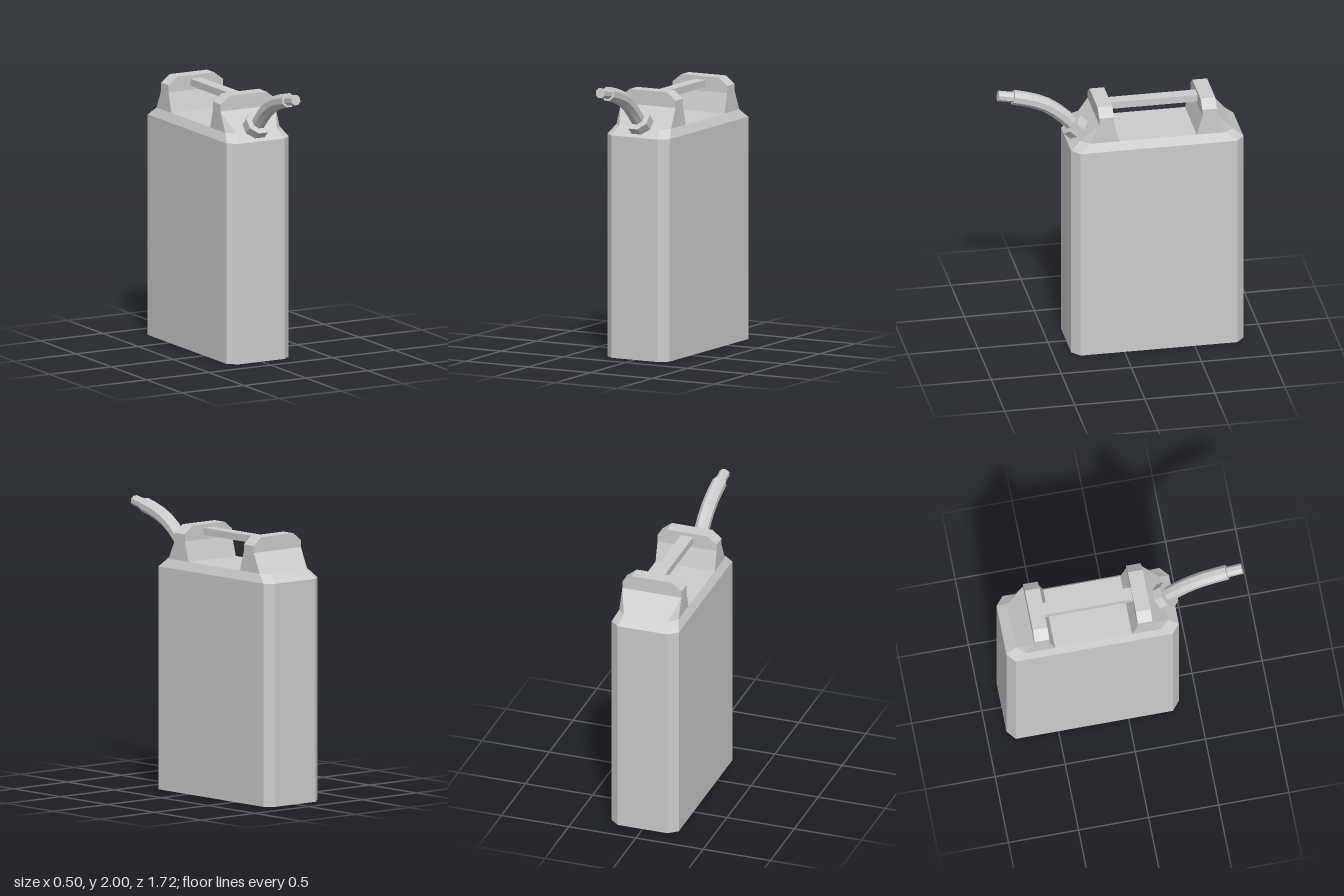
import * as THREE from 'three';
import { ConvexGeometry } from 'three/addons/geometries/ConvexGeometry.js';

const material = new THREE.MeshStandardMaterial({ color: 0xcccccc, flatShading: true });
const MID_Z = -0.245; // middle of the can, the spout reaches forward of it

function addMesh(parent, name, geometry) {
  const mesh = new THREE.Mesh(geometry, material);
  mesh.name = name;
  parent.add(mesh);
  return mesh;
}

// Closed skin through rings of equal point count, with both ends capped
function loft(rings) {
  const pos = [];
  const tri = (...pts) => pts.forEach((p) => pos.push(p.x, p.y, p.z));
  const n = rings[0].length;
  for (let i = 0; i < rings.length - 1; i++) {
    for (let j = 0; j < n; j++) {
      const k = (j + 1) % n;
      tri(rings[i][j], rings[i][k], rings[i + 1][k]);
      tri(rings[i][j], rings[i + 1][k], rings[i + 1][j]);
    }
  }
  const first = rings[0], last = rings[rings.length - 1];
  for (let j = 1; j < n - 1; j++) {
    tri(first[0], first[j + 1], first[j]);
    tri(last[0], last[j], last[j + 1]);
  }
  const geometry = new THREE.BufferGeometry();
  geometry.setAttribute('position', new THREE.Float32BufferAttribute(pos, 3));
  geometry.computeVertexNormals();
  return geometry;
}

// Rectangle with cut corners, counter-clockwise from above
function bodyRing(y, hx, hz, cx, cz) {
  return [
    [hx, hz - cz], [hx, -hz + cz], [hx - cx, -hz], [-hx + cx, -hz],
    [-hx, -hz + cz], [-hx, hz - cz], [-hx + cx, hz], [hx - cx, hz],
  ].map(([x, z]) => new THREE.Vector3(x, y, z));
}

// Eight-sided ring around a centre, facing along a direction in the yz plane
function pipeRing(centre, dir, radius) {
  const v = new THREE.Vector3(0, dir.z, -dir.y);
  return Array.from({ length: 8 }, (_, i) => {
    const a = (i + 0.5) * Math.PI / 4;
    return centre.clone().addScaledVector(v, Math.sin(a) * radius)
      .add(new THREE.Vector3(Math.cos(a) * radius, 0, 0));
  });
}

// Hull of points mirrored across x
function hull(points) {
  return new ConvexGeometry(points.flatMap(([x, y, z]) =>
    [new THREE.Vector3(x, y, z), new THREE.Vector3(-x, y, z)]));
}

export function createModel() {
  const model = new THREE.Group();
  model.name = 'fuelCan';

  const can = new THREE.Group();
  can.name = 'can';
  can.position.z = MID_Z;
  model.add(can);

  // Body with sloped shoulder
  addMesh(can, 'body', loft([
    bodyRing(0, 0.25, 0.615, 0.065, 0.055),
    bodyRing(1.58, 0.25, 0.615, 0.065, 0.055),
    bodyRing(1.64, 0.22, 0.545, 0.055, 0.06),
  ]));

  // Handle posts: flared foot and chamfered top, one at each end
  for (const [name, turn] of [['frontPost', 0], ['rearPost', Math.PI]]) {
    const post = new THREE.Group();
    post.name = name;
    post.rotation.y = turn;
    can.add(post);
    addMesh(post, 'foot', hull([
      [0.22, 1.64, 0.275], [0.22, 1.64, 0.485], [0.165, 1.64, 0.545],
      [0.22, 1.78, 0.315], [0.22, 1.78, 0.42],
    ]));
    addMesh(post, 'cap', hull([0.315, 0.42].flatMap((z) =>
      [[0.22, 1.78, z], [0.22, 1.83, z], [0.15, 1.885, z]])));
  }

  // Carrying bar between the posts
  addMesh(can, 'handleBar', new THREE.BoxGeometry(0.09, 0.05, 0.64)).position.y = 1.835;

  // Spout collar standing square on the front slope
  const spout = new THREE.Group();
  spout.name = 'spout';
  model.add(spout);
  const axis = new THREE.Vector3(0, 0.666, 0.746).normalize();
  const seat = new THREE.Vector3(0, 1.71, 0.336);
  addMesh(spout, 'collar', loft([-0.085, 0].map((d) =>
    pipeRing(seat.clone().addScaledVector(axis, d), axis, 0.096))));

  // Bent hose ending in a narrower nozzle
  const curve = new THREE.CatmullRomCurve3([
    [1.7, 0.325], [1.795, 0.42], [1.865, 0.515], [1.913, 0.63], [1.945, 0.75],
  ].map(([y, z]) => new THREE.Vector3(0, y, z)));
  const hoseRings = Array.from({ length: 7 }, (_, i) =>
    pipeRing(curve.getPointAt(i / 6), curve.getTangentAt(i / 6), 0.053));
  addMesh(spout, 'hose', loft(hoseRings));

  const end = curve.getPointAt(1);
  const tip = new THREE.Vector3(0, 1.965, 0.857);
  const tipDir = tip.clone().sub(end).normalize();
  addMesh(spout, 'nozzle', loft([end, tip].map((p) => pipeRing(p, tipDir, 0.038))));

  return model;
}
